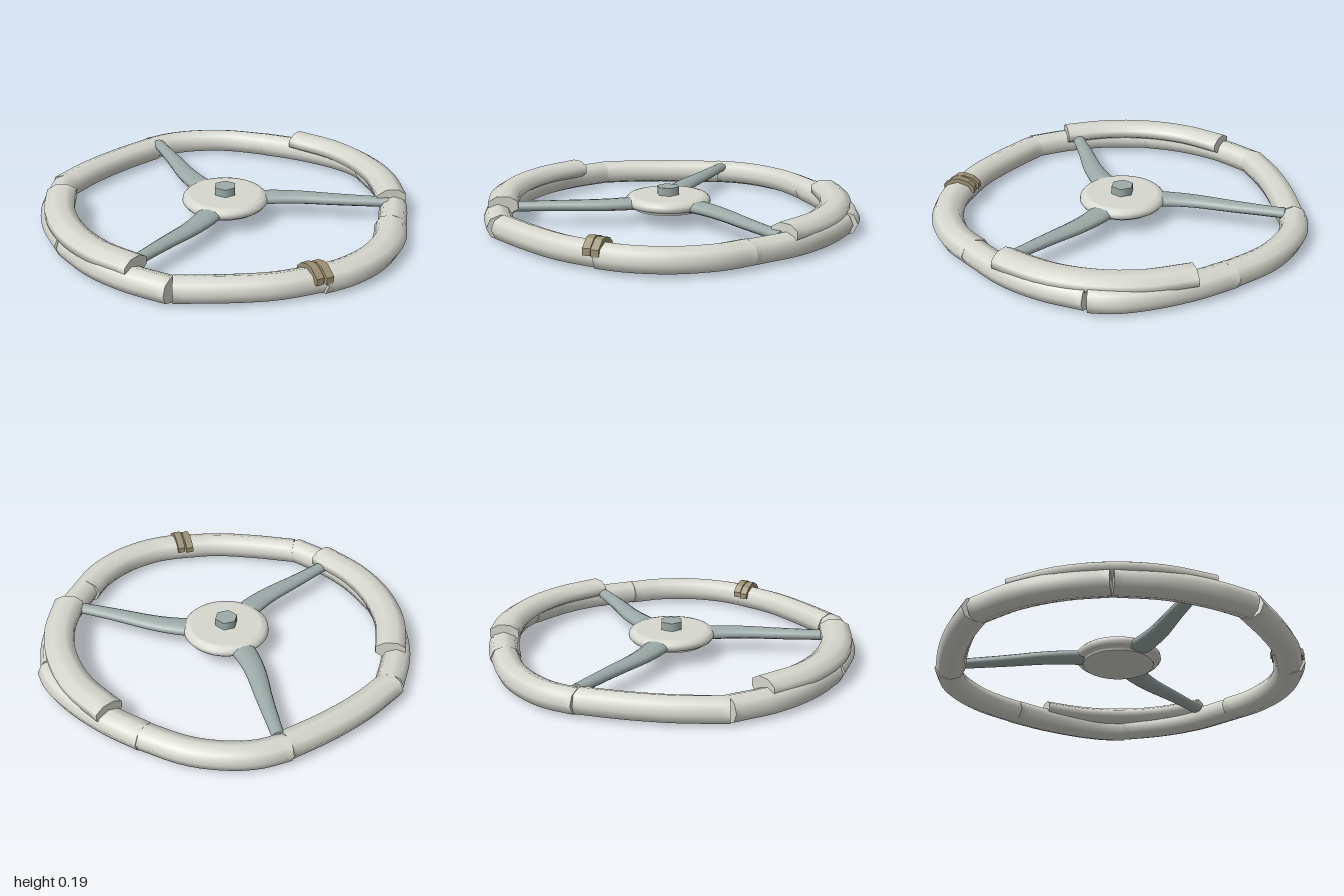
import * as THREE from 'three';

const mat = (name, color, side = THREE.FrontSide) => {
  const m = new THREE.MeshStandardMaterial({ color, side });
  m.name = name;
  return m;
};

// Sweeps an elliptical section along a path; size(t) gives [halfWidth, halfHeight].
function sweep(points, size, { rings = 16, sides = 8, turn = 0 } = {}) {
  const curve = new THREE.CatmullRomCurve3(points.map(p => new THREE.Vector3(...p)));
  const up = new THREE.Vector3(0, 1, 0);
  const pos = [], idx = [];
  for (let i = 0; i <= rings; i++) {
    const t = i / rings, p = curve.getPointAt(t), [w, h] = size(t);
    const side = curve.getTangentAt(t).cross(up).normalize();
    for (let j = 0; j < sides; j++) {
      const a = ((j + turn) / sides) * Math.PI * 2;
      const c = Math.cos(a) * w;
      pos.push(p.x + side.x * c, p.y + Math.sin(a) * h, p.z + side.z * c);
    }
  }
  for (let i = 0; i < rings; i++) for (let j = 0; j < sides; j++) {
    const a = i * sides + j, b = i * sides + (j + 1) % sides;
    idx.push(a, a + sides, b, b, a + sides, b + sides);
  }
  // flat end caps with their own vertices
  for (const end of [0, rings]) {
    const first = pos.length / 3;
    for (let k = 0; k < sides * 3; k++) pos.push(pos[end * sides * 3 + k]);
    for (let j = 1; j < sides - 1; j++)
      idx.push(first, first + (end ? j + 1 : j), first + (end ? j : j + 1));
  }
  const g = new THREE.BufferGeometry();
  g.setAttribute('position', new THREE.Float32BufferAttribute(pos, 3));
  g.setIndex(idx);
  g.computeVertexNormals();
  return g;
}

export function createModel() {
  const wheel = new THREE.Group();
  wheel.name = 'handWheel';
  const pale = mat('paleGrey', 0xd6d7ce);
  const steel = mat('greenGrey', 0x9daba8);
  const tan = mat('tan', 0x9c9073);
  const add = (parent, name, geo, material) => {
    const m = new THREE.Mesh(geo, material);
    m.name = name;
    parent.add(m);
    return m;
  };

  // Rim: eight tube sections, [half width, centre line x, z ...]
  const rim = new THREE.Group();
  rim.name = 'rim';
  wheel.add(rim);
  const sections = [
    [0.074, [-0.03, -0.92], [0.12, -0.925], [0.26, -0.89], [0.43, -0.8], [0.62, -0.62]],
    [0.08, [0.6, -0.64], [0.73, -0.48], [0.85, -0.28], [0.91, -0.12], [0.92, -0.003]],
    [0.075, [0.908, 0.003], [0.86, 0.22], [0.77, 0.42], [0.6, 0.64]],
    [0.084, [0.6, 0.63], [0.49, 0.755], [0.31, 0.865], [0.12, 0.91], [-0.03, 0.905]],
    [0.075, [-0.01, 0.9], [-0.24, 0.855], [-0.45, 0.765], [-0.67, 0.645]],
    [0.075, [-0.68, 0.65], [-0.8, 0.46], [-0.885, 0.25], [-0.925, 0.002]],
    [0.075, [-0.925, -0.002], [-0.9, -0.22], [-0.82, -0.45], [-0.68, -0.66]],
    [0.079, [-0.69, -0.66], [-0.48, -0.77], [-0.26, -0.85], [-0.02, -0.91]],
  ];
  sections.forEach(([w, ...path], i) => {
    const geo = sweep(path.map(([x, z]) => [x, 0.067, z]), () => [w, 0.067]);
    add(rim, 'rimSection' + (i + 1), geo, pale);
  });

  // Hand grips lying on top of the rim at both sides
  for (const s of [1, -1]) {
    const path = [[0.75, -0.47], [0.852, -0.24], [0.885, 0], [0.852, 0.23], [0.75, 0.465]]
      .map(([x, z]) => [s * x - 0.02, 0.126, z - 0.005]);
    add(wheel, s > 0 ? 'leftGrip' : 'rightGrip',
      sweep(path, () => [0.084, 0.051], { turn: 0.5 }), pale);
  }

  // Hub, spokes and nut share an axis
  const centre = new THREE.Group();
  centre.name = 'centre';
  centre.position.set(-0.025, 0, -0.006);
  wheel.add(centre);

  const profile = [[0, 0.07], [0.188, 0.07], [0.188, 0.07], [0.19, 0.085], [0.218, 0.09], [0.229, 0.105],
    [0.226, 0.122], [0.212, 0.136], [0.19, 0.142], [0.19, 0.142], [0, 0.142]];
  add(centre, 'hub',
    new THREE.LatheGeometry(profile.map(p => new THREE.Vector2(...p)), 40), pale);

  const nut = add(centre, 'nut', new THREE.CylinderGeometry(0.061, 0.061, 0.047, 6), steel);
  nut.position.y = 0.1615;
  nut.rotation.y = Math.PI / 6;

  // Curved tapering spokes
  const spokeGeo = sweep(
    [[-0.02, 0.105, -0.17], [-0.03, 0.105, -0.25], [-0.028, 0.105, -0.39], [0, 0.105, -0.6], [0.03, 0.105, -0.87]],
    t => [0.033 + 0.036 * (1 - t) ** 1.3, 0.026 + 0.006 * (1 - t)],
    { sides: 12 });
  for (let i = 0; i < 3; i++)
    add(centre, 'spoke' + (i + 1), spokeGeo, steel).rotation.y = -i * Math.PI * 2 / 3;

  // Double clip arched over the rim joint
  const arch = new THREE.Shape([[0.985, 0.08], [0.985, 0.115], [0.935, 0.152], [0.9, 0.157],
    [0.85, 0.142], [0.815, 0.11], [0.815, 0.08], [0.83, 0.08], [0.86, 0.12], [0.94, 0.12], [0.97, 0.08]]
    .map(([z, y]) => new THREE.Vector2(-z, y)));
  const clipGeo = new THREE.ExtrudeGeometry(arch, { depth: 0.04, bevelEnabled: false });
  clipGeo.rotateY(Math.PI / 2);
  [-0.09, -0.043].forEach((x, i) => {
    const clip = add(wheel, 'clip' + (i + 1), clipGeo, tan);
    clip.position.set(x, 0, i ? 0 : -0.012);
  });
  return wheel;
}
